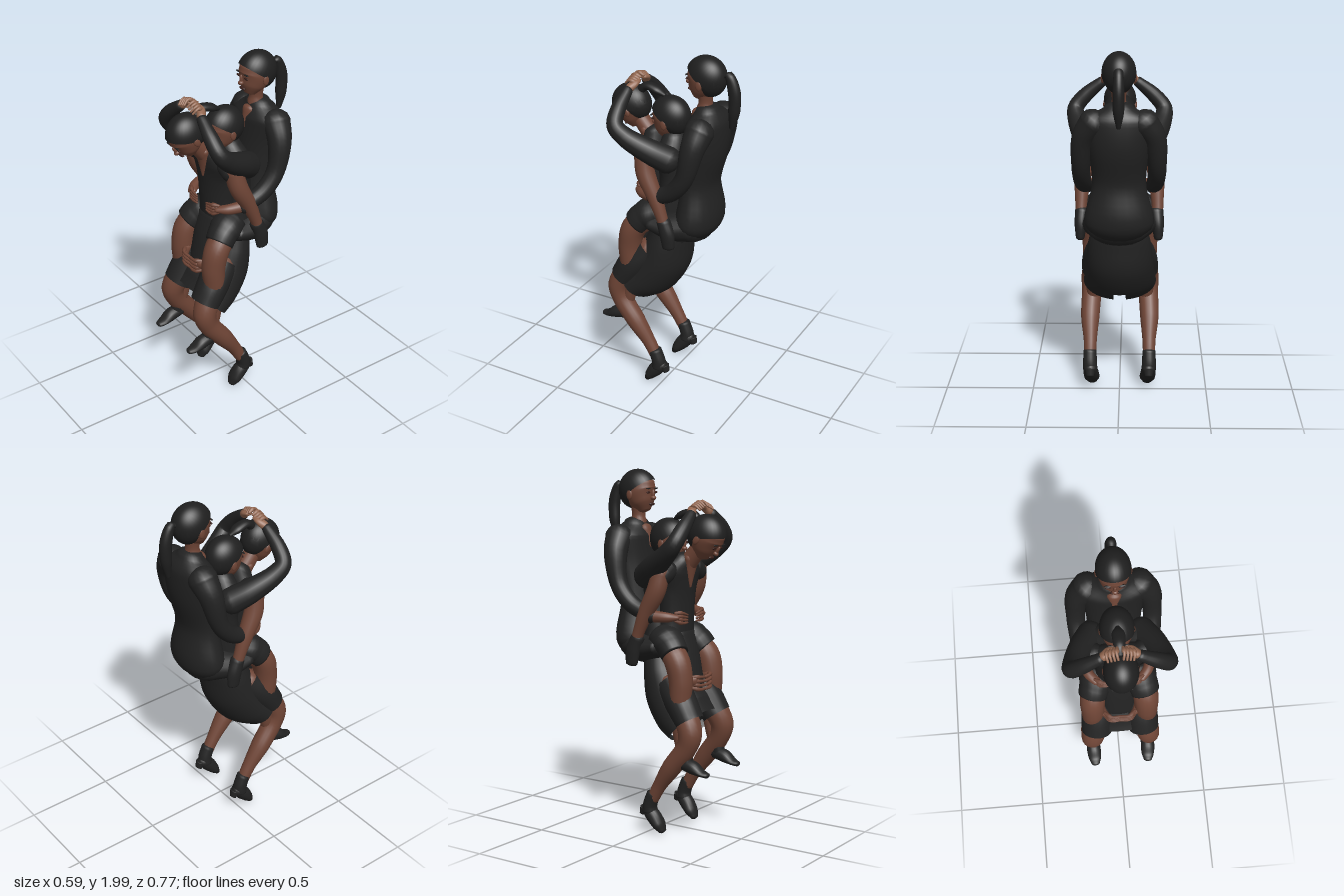
import * as THREE from 'three';

const mat = (name, color) => {
  const m = new THREE.MeshStandardMaterial({ color });
  m.name = name;
  return m;
};
const V = (x, y, z) => new THREE.Vector3(x, y, z);

// Smooth body through rows [x, y, z, halfWidth, halfDepth]; cap is the roundness of the ends,
// open leaves the ends off and gap(i, j) leaves out single faces
function loft(rows, { cap = 0.8, ref = [1, 0, 0], sides = 24, steps = 6, open = false, gap = () => false } = {}) {
  const path = new THREE.CatmullRomCurve3(rows.map(r => V(r[0], r[1], r[2])));
  const size = new THREE.CatmullRomCurve3(rows.map(r => V(r[3], r[4] ?? r[3], 0)));
  const n = (rows.length - 1) * steps, rings = [];
  for (let i = 0; i <= n; i++) rings.push([i / n, 1, 0]);
  for (const a of open ? [] : [0.5, 1, 1.35, 1.56]) {
    rings.unshift([0, Math.cos(a), -Math.sin(a) * cap]);
    rings.push([1, Math.cos(a), Math.sin(a) * cap]);
  }
  const pos = [], idx = [];
  rings.forEach(([t, k, off], i) => {
    const c = path.getPoint(t), s = size.getPoint(t), d = path.getTangent(t);
    const u = V(...ref).addScaledVector(d, -V(...ref).dot(d)).normalize();
    const v = d.clone().cross(u);
    c.addScaledVector(d, off * Math.min(s.x, s.y));
    for (let j = 0; j < sides; j++) {
      const a = j / sides * Math.PI * 2;
      const p = c.clone().addScaledVector(u, Math.cos(a) * s.x * k).addScaledVector(v, Math.sin(a) * s.y * k);
      pos.push(p.x, p.y, p.z);
      if (i && !gap(i, j)) {
        const j2 = (j + 1) % sides, b = (i - 1) * sides, e = i * sides;
        idx.push(b + j, b + j2, e + j, b + j2, e + j2, e + j);
      }
    }
  });
  const g = new THREE.BufferGeometry();
  g.setAttribute('position', new THREE.Float32BufferAttribute(pos, 3));
  g.setIndex(idx);
  g.computeVertexNormals();
  return g;
}

export function createModel() {
  const cloth = mat('black cloth', 0x222222), skin = mat('brown skin', 0x6f4536);
  const hair = mat('black hair', 0x1f1f1f), dark = mat('dark lips and eyes', 0x3a211c);
  const palm = mat('light skin', 0x92664f);
  cloth.side = THREE.DoubleSide;

  const model = new THREE.Group();
  const add = (parent, name, geo, m) => {
    const mesh = new THREE.Mesh(geo, m);
    mesh.name = name;
    parent.add(mesh);
    return mesh;
  };
  const figure = name => {
    const g = new THREE.Group();
    g.name = name;
    model.add(g);
    return g;
  };
  // The same part on the left and on the right
  const pair = (parent, name, rows, m, opt = {}) => {
    for (const s of [1, -1]) {
      const ref = opt.ref ? [opt.ref[0] * s, opt.ref[1], opt.ref[2]] : [1, 0, 0];
      add(parent, name, loft(rows.map(([x, ...r]) => [x * s, ...r]), { ...opt, ref, sides: opt.sides ?? 18 }), m);
    }
  };
  const ball = (parent, name, m, [x, y, z], [a, b, c]) =>
    add(parent, name, new THREE.SphereGeometry(1, 20, 14).scale(a, b, c).translate(x, y, z), m);

  // Head with cropped hair, face and ears, facing +z
  function head(parent, at, tilt) {
    const h = new THREE.Group();
    h.name = 'head';
    h.position.set(...at);
    h.rotation.x = tilt;
    parent.add(h);
    add(h, 'face', loft([[0, -0.1, 0.045, 0.035, 0.035], [0, -0.06, 0.03, 0.066, 0.07],
      [0, 0.0, 0.003, 0.082, 0.1], [0, 0.045, -0.005, 0.078, 0.096]], { cap: 0.3 }), skin);
    const cap = new THREE.SphereGeometry(1, 32, 18, 0, Math.PI * 2, 0, Math.PI * 0.54);
    add(h, 'hair', cap.rotateX(-0.66).scale(0.091, 0.112, 0.114).translate(0, 0.012, -0.004), hair);
    ball(h, 'hairBack', hair, [0, 0.005, -0.028], [0.084, 0.1, 0.088]);
    ball(h, 'nose', skin, [0, -0.03, 0.1], [0.016, 0.013, 0.017]);
    ball(h, 'noseBridge', skin, [0, -0.01, 0.098], [0.009, 0.026, 0.01]);
    ball(h, 'lips', dark, [0, -0.064, 0.092], [0.024, 0.009, 0.01]);
    for (const s of [1, -1]) {
      ball(h, 'ear', skin, [s * 0.086, -0.015, 0], [0.009, 0.028, 0.018]);
      ball(h, 'eye', dark, [s * 0.034, 0.0, 0.091], [0.016, 0.007, 0.005]);
      ball(h, 'brow', hair, [s * 0.035, 0.021, 0.091], [0.021, 0.004, 0.006]);
    }
  }

  // ---- Rear figure ----
  const rear = figure('rearFigure');
  add(rear, 'jacket', loft([[0, 0.99, -0.13, 0.14, 0.08], [0, 1.08, -0.16, 0.19, 0.12], [0, 1.3, -0.165, 0.145, 0.095],
    [0, 1.5, -0.2, 0.165, 0.105], [0, 1.64, -0.205, 0.185, 0.1], [0, 1.71, -0.2, 0.08, 0.062]], { cap: 0.5 }), cloth);
  add(rear, 'neck', loft([[0, 1.64, -0.18, 0.05], [0, 1.72, -0.185, 0.045], [0, 1.82, -0.185, 0.045]]), skin);
  add(rear, 'openCollar', loft([[0, 1.58, -0.112, 0.012, 0.02], [0, 1.68, -0.14, 0.04, 0.03]]), skin);
  head(rear, [0, 1.878, -0.185], 0.03);
  add(rear, 'ponytail', loft([[0, 1.9, -0.27, 0.025], [0, 1.915, -0.315, 0.025], [0, 1.83, -0.35, 0.03, 0.034],
    [0, 1.73, -0.352, 0.03, 0.032], [0, 1.63, -0.34, 0.012, 0.014]], { cap: 0.5 }), hair);
  pair(rear, 'sleeve', [[0.13, 1.635, -0.22, 0.08], [0.184, 1.55, -0.207, 0.066], [0.204, 1.38, -0.168, 0.05],
    [0.198, 1.28, -0.09, 0.048], [0.185, 1.22, 0.03, 0.042]], cloth);
  pair(rear, 'forearm', [[0.185, 1.22, 0.03, 0.033], [0.158, 1.215, 0.11, 0.028], [0.118, 1.213, 0.155, 0.024, 0.016]], skin);
  for (let i = 0; i < 4; i++)
    pair(rear, 'finger', [[0.13, 1.238 - i * 0.014, 0.15, 0.008], [0.09, 1.235 - i * 0.018, 0.172, 0.008],
      [0.045, 1.222 - i * 0.014, 0.172, 0.006]], skin, { ref: [0, 1, 0], sides: 8, steps: 4 });
  add(rear, 'skirt', loft([[0, 1.05, -0.17, 0.18, 0.11], [0, 1.035, -0.05, 0.215, 0.1], [0, 1.05, 0.06, 0.215, 0.075]],
    { cap: 0.6 }), cloth);

  // ---- Middle figure, standing ----
  const middle = figure('middleFigure');
  add(middle, 'jacket', loft([[0, 0.92, 0, 0.15, 0.1], [0, 1.1, -0.01, 0.15, 0.1], [0, 1.3, -0.02, 0.14, 0.085],
    [0, 1.44, -0.01, 0.17, 0.085], [0, 1.53, 0, 0.075, 0.06]], { cap: 0.5 }), cloth);
  add(middle, 'neck', loft([[0, 1.48, 0.01, 0.05], [0, 1.6, 0.02, 0.045]]), skin);
  head(middle, [0, 1.617, 0.025], 0.1);
  const bend = { ref: [-1, -1, 0.9] };
  pair(middle, 'sleeve', [[0.13, 1.43, -0.035, 0.075], [0.185, 1.485, 0.05, 0.067], [0.238, 1.565, 0.17, 0.052],
    [0.246, 1.62, 0.222, 0.045], [0.19, 1.69, 0.235, 0.041], [0.1, 1.765, 0.23, 0.029]], cloth, bend);
  pair(middle, 'hand', [[0.085, 1.775, 0.225, 0.024], [0.06, 1.795, 0.21, 0.024, 0.017], [0.03, 1.805, 0.21, 0.022, 0.014]],
    palm, { ref: [0, 0, 1] });
  for (let i = 0; i < 4; i++)
    pair(middle, 'finger', [[0.06 - i * 0.015, 1.8 + i * 0.006, 0.2, 0.008], [0.07 - i * 0.017, 1.812 + i * 0.006, 0.235, 0.008],
      [0.064 - i * 0.017, 1.79 + i * 0.006, 0.262, 0.006]], palm, { sides: 8, steps: 4 });
  // Open skirt with a vent at the back of the hem
  add(middle, 'skirt', loft([[0, 1.0, 0, 0.15, 0.1], [0, 0.9, 0.02, 0.175, 0.12], [0, 0.78, 0.06, 0.19, 0.15],
    [0, 0.68, 0.125, 0.2, 0.155], [0, 0.61, 0.195, 0.21, 0.13]],
  { open: true, sides: 36, gap: (i, j) => i > 18 && (j === 26 || j === 27) }), cloth);
  pair(middle, 'skirtOverThigh', [[0.09, 0.84, 0.1, 0.09, 0.1], [0.125, 0.75, 0.185, 0.09, 0.09],
    [0.135, 0.65, 0.25, 0.086, 0.08]], cloth, { open: true });
  pair(middle, 'leg', [[0.1, 0.84, 0.1, 0.075], [0.135, 0.72, 0.2, 0.072], [0.16, 0.6, 0.268, 0.066], [0.165, 0.52, 0.25, 0.058],
    [0.172, 0.4, 0.16, 0.054], [0.17, 0.28, 0.075, 0.038], [0.17, 0.2, 0.03, 0.034]], skin);
  pair(middle, 'bootShaft', [[0.17, 0.23, 0.035, 0.038], [0.17, 0.16, 0.01, 0.04], [0.168, 0.125, 0.01, 0.042]], cloth, { cap: 0.3 });
  pair(middle, 'bootFoot', [[0.168, 0.14, -0.01, 0.036, 0.036], [0.166, 0.1, 0.03, 0.043, 0.042],
    [0.162, 0.055, 0.065, 0.045, 0.033], [0.16, 0.025, 0.085, 0.03, 0.02]], cloth);
  pair(middle, 'bootHeel', [[0.168, 0.14, -0.025, 0.03, 0.028], [0.168, 0.105, -0.04, 0.022, 0.018]], cloth, { cap: 0.1 });

  // Hands clasped low in front
  pair(middle, 'claspedHand', [[0.12, 0.89, 0.15, 0.026], [0.095, 0.87, 0.215, 0.022, 0.026], [0.07, 0.862, 0.24, 0.016, 0.03]], skin);
  for (let i = 0; i < 4; i++)
    pair(middle, 'claspedFinger', [[0.085, 0.89 - i * 0.02, 0.23, 0.009], [0.05, 0.888 - i * 0.023, 0.258, 0.009],
      [0.002, 0.882 - i * 0.022, 0.256, 0.008]], skin, { ref: [0, 1, 0], sides: 8, steps: 4 });

  // ---- Front figure, leaning forward ----
  const front = figure('frontFigure');
  add(front, 'dress', loft([[0, 1.02, 0.06, 0.155, 0.09], [0, 1.2, 0.07, 0.12, 0.085], [0, 1.36, 0.08, 0.135, 0.08],
    [0, 1.46, 0.1, 0.165, 0.07], [0, 1.53, 0.13, 0.065, 0.05]], { cap: 0.5 }), cloth);
  add(front, 'neckline', loft([[0, 1.37, 0.157, 0.006, 0.01], [0, 1.45, 0.16, 0.036, 0.022], [0, 1.53, 0.17, 0.055, 0.032]]), skin);
  add(front, 'neck', loft([[0, 1.48, 0.13, 0.05], [0, 1.6, 0.23, 0.045]]), skin);
  head(front, [0, 1.643, 0.262], 0.66);
  add(front, 'ponytail', loft([[0, 1.735, 0.21, 0.024], [0, 1.77, 0.17, 0.03, 0.022], [0, 1.76, 0.11, 0.034, 0.022],
    [0, 1.735, 0.06, 0.012, 0.01]], { cap: 0.5 }), hair);
  pair(front, 'shoulder', [[0.12, 1.465, 0.09, 0.06], [0.17, 1.44, 0.09, 0.058]], cloth, { ref: [0, 0, 1] });
  pair(front, 'arm', [[0.18, 1.46, 0.09, 0.05], [0.195, 1.36, 0.07, 0.052], [0.205, 1.24, 0.01, 0.043],
    [0.21, 1.13, -0.035, 0.032], [0.21, 1.07, -0.055, 0.03]], skin);
  pair(front, 'glove', [[0.205, 1.1, -0.045, 0.038], [0.212, 1.03, -0.07, 0.034, 0.042], [0.215, 0.955, -0.08, 0.024, 0.036]],
    cloth, { cap: 0.6 });
  pair(front, 'dressHem', [[0.1, 1.1, 0.04, 0.085, 0.08], [0.13, 1.06, 0.12, 0.085, 0.08], [0.145, 1.015, 0.16, 0.08, 0.075]],
    cloth, { cap: 0 });
  add(front, 'dressPanel', loft([[0, 1.12, 0.12, 0.09, 0.035], [0, 1.0, 0.15, 0.09, 0.04], [0, 0.82, 0.19, 0.085, 0.035]], { cap: 0.2 }), cloth);
  pair(front, 'leg', [[0.13, 1.05, 0.11, 0.068], [0.148, 0.98, 0.175, 0.07], [0.15, 0.88, 0.2, 0.066],
    [0.153, 0.78, 0.2, 0.06], [0.155, 0.62, 0.2, 0.045], [0.158, 0.43, 0.23, 0.03]], skin);
  pair(front, 'shoe', [[0.16, 0.425, 0.23, 0.036, 0.036], [0.16, 0.41, 0.29, 0.04, 0.036],
    [0.157, 0.385, 0.345, 0.035, 0.018], [0.155, 0.378, 0.375, 0.024, 0.014]], cloth);
  pair(front, 'shoeCuff', [[0.158, 0.48, 0.24, 0.036], [0.16, 0.42, 0.25, 0.036]], cloth, { cap: 0.1 });

  return model;
}
